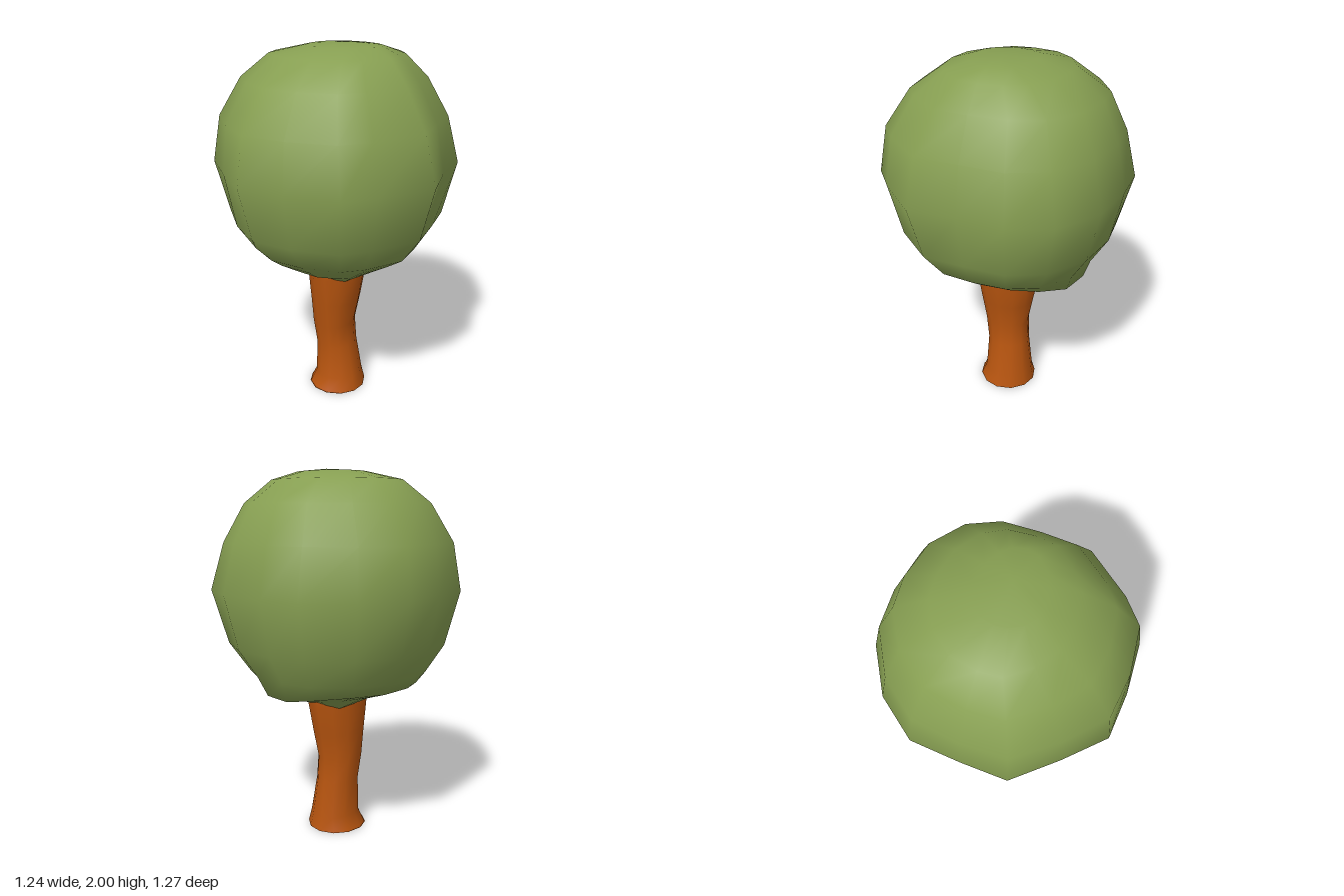
import * as THREE from 'three';

// Crown outline seen from above (x, z), running back, right, front, left
const crownOutline = [
  [0, -1], [0.44, -0.945], [0.81, -0.72], [0.97, -0.39], [0.95, 0], [1, 0.39], [0.67, 0.77], [0.45, 0.965],
  [0, 1], [-0.4, 0.98], [-0.7, 0.7], [-1, 0.38], [-1, 0], [-0.98, -0.42], [-0.73, -0.76], [-0.35, -0.99],
];
const trunkOutline = Array.from({ length: 12 }, (_, i) => {
  const a = (i / 12) * Math.PI * 2;
  return [Math.sin(a), -Math.cos(a)];
});

// Rings: [y, xMin, xMax, zMin, zMax, roundness]
const crownRings = [
  [0.75, -0.16, 0.16, -0.19, 0.18, 1],
  [0.8, -0.25, 0.26, -0.29, 0.27, 1],
  [0.87, -0.45, 0.37, -0.45, 0.37, 0.8],
  [0.93, -0.485, 0.455, -0.485, 0.45, 0.6],
  [1.08, -0.565, 0.555, -0.575, 0.575, 0.4],
  [1.37, -0.62, 0.615, -0.637, 0.637, 0],
  [1.62, -0.59, 0.56, -0.585, 0.61, 0.3],
  [1.82, -0.485, 0.45, -0.5, 0.48, 0.5],
  [1.94, -0.35, 0.345, -0.33, 0.31, 0.7],
  [1.985, -0.15, 0.24, -0.16, 0.17, 1],
];
const trunkRings = [
  [0, -0.16, 0.165, -0.17, 0.16, 1],
  [0.08, -0.122, 0.145, -0.155, 0.125, 1],
  [0.28, -0.12, 0.11, -0.13, 0.115, 1],
  [0.42, -0.14, 0.1, -0.125, 0.133, 1],
  [0.57, -0.148, 0.13, -0.155, 0.155, 1],
  [0.74, -0.16, 0.158, -0.188, 0.18, 1],
  [0.79, -0.16, 0.155, -0.185, 0.18, 1],
];

// Skins a stack of rings; apex closes the top, adjust may nudge points
function loft(outline, rings, apex, adjust) {
  const n = outline.length, pos = [], index = [];
  rings.forEach(([y, x0, x1, z0, z1, round], r) => {
    outline.forEach(([ox, oz]) => {
      const len = Math.hypot(ox, oz);
      const ux = THREE.MathUtils.lerp(ox, ox / len, round);
      const uz = THREE.MathUtils.lerp(oz, oz / len, round);
      const p = new THREE.Vector3(ux * (ux > 0 ? x1 : -x0), y, uz * (uz > 0 ? z1 : -z0));
      if (adjust) adjust(p, r, Math.atan2(uz, ux));
      pos.push(p.x, p.y, p.z);
    });
  });
  for (let r = 0; r < rings.length - 1; r++) {
    for (let i = 0; i < n; i++) {
      const a = r * n + i, b = r * n + (i + 1) % n;
      index.push(a, a + n, b, b, a + n, b + n);
    }
  }
  if (apex) {
    const top = pos.length / 3, base = (rings.length - 1) * n;
    pos.push(...apex);
    for (let i = 0; i < n; i++) index.push(base + i, top, base + (i + 1) % n);
  }
  const g = new THREE.BufferGeometry();
  g.setAttribute('position', new THREE.Float32BufferAttribute(pos, 3));
  g.setIndex(index);
  g.computeVertexNormals();
  return g;
}

export function createModel() {
  const leaf = new THREE.MeshStandardMaterial({ color: 0x879f52, side: THREE.DoubleSide });
  leaf.name = 'leaf green';
  const bark = new THREE.MeshStandardMaterial({ color: 0xb8550f, side: THREE.DoubleSide });
  bark.name = 'bark orange';

  const model = new THREE.Group();
  model.name = 'tree';
  const add = (name, geometry, material) => {
    const mesh = new THREE.Mesh(geometry, material);
    mesh.name = name;
    model.add(mesh);
    return mesh;
  };

  // Leafy crown with a wavy lower rim and a slight droop at the back
  add('crown', loft(crownOutline, crownRings, [0.07, 2, 0], (p, r, a) => {
    if (r === 0) p.y += 0.015 * Math.cos(4 * a);
    if (r === 2) p.y -= 0.05 * Math.max(0, Math.cos(a + 1.35)) ** 6;
  }), leaf);

  // Waisted trunk, flared at both ends
  add('trunk', loft(trunkOutline, trunkRings), bark);

  // Underside of the trunk
  const base = add('trunkBase', new THREE.CircleGeometry(0.163, 12), bark);
  base.rotation.x = Math.PI / 2;
  base.position.y = 0.001;

  return model;
}
